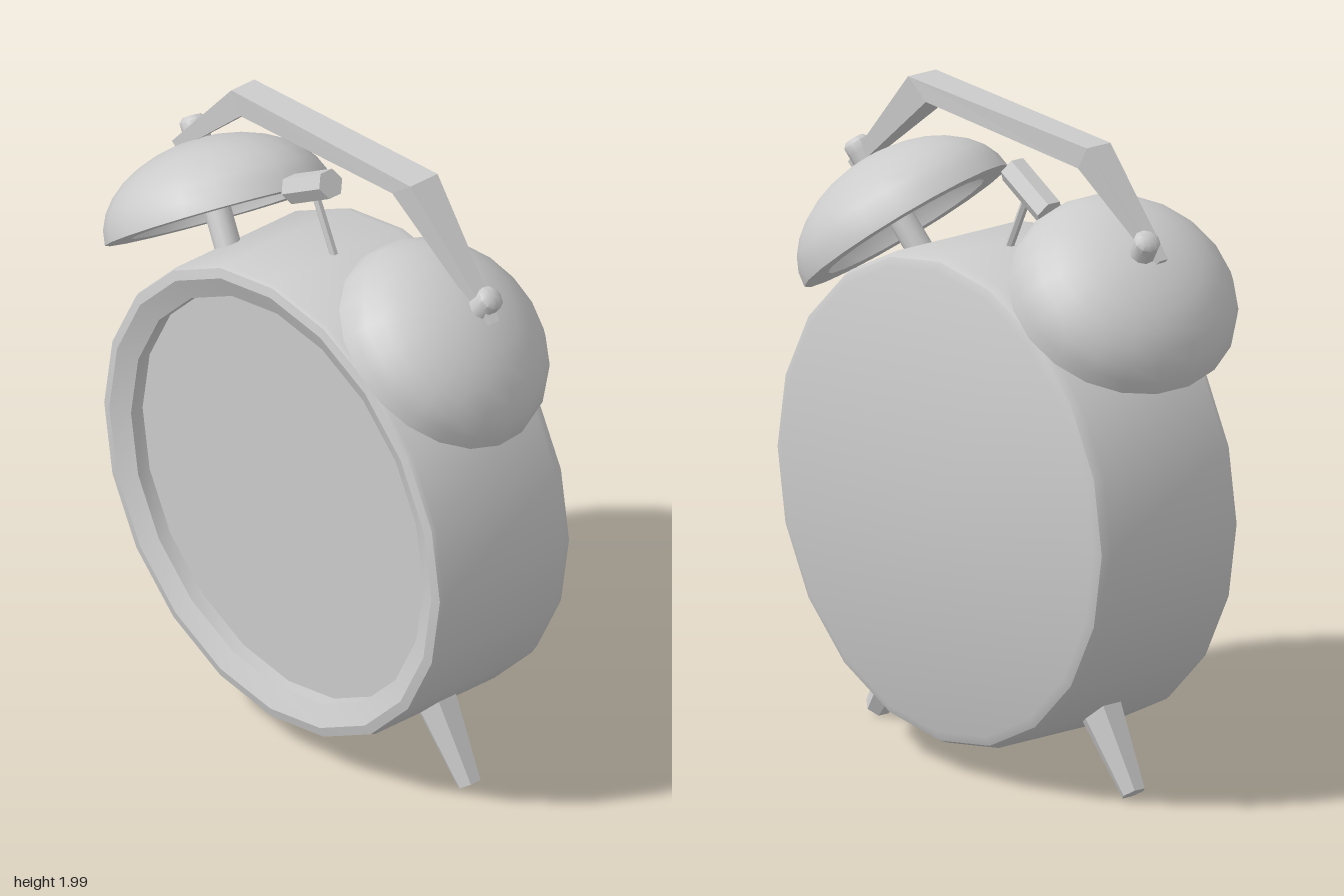
import * as THREE from 'three';
import { toCreasedNormals } from 'three/addons/utils/BufferGeometryUtils.js';

const smooth = new THREE.MeshStandardMaterial({ color: 0xcccccc });
const faceted = new THREE.MeshStandardMaterial({ color: 0xcccccc, flatShading: true });
const V = (x, y, z) => new THREE.Vector3(x, y, z);
const UP = V(0, 1, 0);

function addMesh(parent, name, geometry, material = smooth) {
  const mesh = new THREE.Mesh(geometry, material);
  mesh.name = name;
  parent.add(mesh);
  return mesh;
}

// Turned part from [radius, height] pairs, with sharp corners kept
function turned(points, sides, crease = 0.6) {
  const profile = points.map(([r, y]) => new THREE.Vector2(r, y));
  return toCreasedNormals(new THREE.LatheGeometry(profile, sides), crease);
}

// Tapered rod between two points
function addRod(parent, name, from, to, r0, r1, sides, material) {
  const dir = to.clone().sub(from);
  let geo = new THREE.CylinderGeometry(r1, r0, dir.length(), sides);
  if (material !== faceted) geo = toCreasedNormals(geo, 0.9);
  const rod = addMesh(parent, name, geo, material);
  rod.position.copy(from).add(to).multiplyScalar(0.5);
  rod.quaternion.setFromUnitVectors(UP, dir.normalize());
  return rod;
}

// Points on a quarter ellipse; runs from the rim to the crown
function quarter(r, h, steps) {
  return Array.from({ length: steps + 1 }, (_, i) => {
    const a = (i / steps) * Math.PI / 2;
    return [i === steps ? 0 : r * Math.cos(a), h * Math.sin(a)];
  });
}

// Bell with its post and cap, built upright and then tilted outwards and back
function buildBell(side) {
  const bell = new THREE.Group();
  bell.name = side > 0 ? 'leftBell' : 'rightBell';
  const shell = [...quarter(0.265, 0.18, 7).reverse(), ...quarter(0.345, 0.23, 8)];
  addMesh(bell, 'bellShell', turned(shell, 20));
  addRod(bell, 'bellPost', V(0, -0.16, 0), V(0, 0.26, 0), 0.04, 0.04, 10);
  const cap = [[0, 0.215], [0.036, 0.215], [0.036, 0.238], [0.024, 0.243], [0.024, 0.253],
    [0.04, 0.258], [0.04, 0.285], [0.028, 0.298], [0, 0.3]];
  addMesh(bell, 'bellCap', turned(cap, 10, 0.8));
  bell.position.set(side * 0.485, 1.5, 0);
  bell.quaternion.setFromUnitVectors(UP, V(side * 0.6, 0.8, -0.17).normalize());
  return bell;
}

// Bent bar lofted through four-cornered sections
function handleGeometry() {
  // outer x, outer y, inner x, inner y, middle z, half width
  const sections = [
    [-0.68, 1.665, -0.655, 1.645, -0.005, 0.015],
    [-0.42, 1.96, -0.38, 1.89, -0.035, 0.045],
    [0.37, 2.0, 0.29, 1.94, -0.038, 0.053],
    [0.685, 1.66, 0.66, 1.64, -0.037, 0.015],
  ];
  const positions = [];
  const index = [];
  sections.forEach(([ox, oy, ix, iy, z, w], s) => {
    positions.push(ox, oy, z + w, ix, iy, z + w, ix, iy, z - w, ox, oy, z - w);
    if (s === 0) return;
    for (let j = 0; j < 4; j++) {
      const k = (j + 1) % 4;
      const a = (s - 1) * 4, b = s * 4;
      index.push(a + j, a + k, b + k, a + j, b + k, b + j);
    }
  });
  const e = (sections.length - 1) * 4;
  index.push(0, 2, 1, 0, 3, 2, e, e + 1, e + 2, e, e + 2, e + 3);
  const geo = new THREE.BufferGeometry();
  geo.setAttribute('position', new THREE.Float32BufferAttribute(positions, 3));
  geo.setIndex(index);
  geo.computeVertexNormals();
  return geo;
}

export function createModel() {
  const clock = new THREE.Group();
  clock.name = 'alarmClock';

  // Drum with rounded back edge, sloping front rim and recessed dial
  const drum = [[0, -0.297], [0.7, -0.297], [0.728, -0.285], [0.74, -0.255],
    [0.74, 0.21], [0.735, 0.225], [0.705, 0.232], [0.64, 0.205], [0.64, 0.16]];
  const body = addMesh(clock, 'body', turned(drum, 20));
  const dial = addMesh(clock, 'dial', turned([[0.64, 0.16], [0, 0.16]], 20));
  for (const part of [body, dial]) {
    part.rotation.x = Math.PI / 2;
    part.position.y = 0.83;
  }

  // Bells and legs, mirrored
  for (const side of [1, -1]) {
    clock.add(buildBell(side));
    addRod(clock, side > 0 ? 'leftLeg' : 'rightLeg',
      V(side * 0.575, 0.024, -0.033), V(side * 0.415, 0.265, -0.033), 0.038, 0.07, 6, faceted);
  }

  // Striker between the bells
  addRod(clock, 'hammerRod', V(0, 1.52, -0.035), V(-0.1, 1.73, -0.035), 0.013, 0.013, 6, faceted);
  addRod(clock, 'hammerHead', V(-0.2, 1.705, -0.035), V(-0.035, 1.8, -0.035), 0.045, 0.045, 6, faceted);

  addMesh(clock, 'handle', handleGeometry(), faceted);
  return clock;
}
